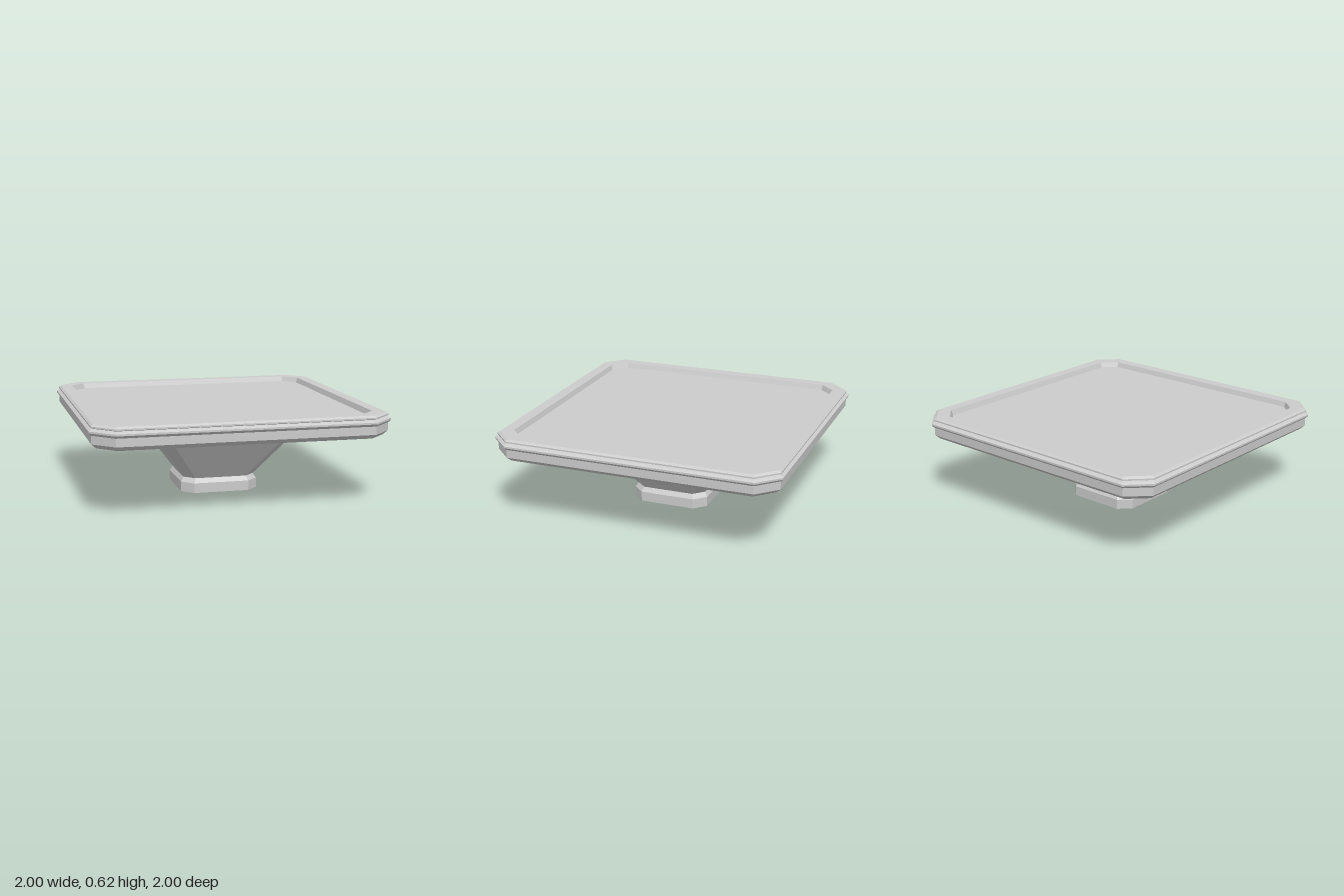
import * as THREE from 'three';

const material = new THREE.MeshStandardMaterial({ color: 0xcccccc, flatShading: true });

// Square with cut corners: h = half width, f = half length of the straight edge
const ring = ([y, h, f]) =>
  [[h, f], [h, -f], [f, -h], [-f, -h], [-h, -f], [-h, f], [-f, h], [f, h]].map(([x, z]) => [x, y, z]);

// Skin a stack of cut-corner squares, listed from the bottom up, and cap both ends
function loft(name, sections) {
  const rings = sections.map(ring);
  const pos = [];
  const tri = (a, b, c) => pos.push(...a, ...b, ...c);
  const last = rings.length - 1;
  const bottom = [0, sections[0][0], 0];
  const top = [0, sections[last][0], 0];
  for (let i = 0; i < 8; i++) {
    const j = (i + 1) % 8;
    for (let k = 0; k < last; k++) {
      tri(rings[k][i], rings[k][j], rings[k + 1][j]);
      tri(rings[k][i], rings[k + 1][j], rings[k + 1][i]);
    }
    tri(bottom, rings[0][j], rings[0][i]);
    tri(top, rings[last][i], rings[last][j]);
  }
  const geometry = new THREE.BufferGeometry();
  geometry.setAttribute('position', new THREE.Float32BufferAttribute(pos, 3));
  geometry.computeVertexNormals();
  const mesh = new THREE.Mesh(geometry, material);
  mesh.name = name;
  return mesh;
}

export function createModel() {
  const model = new THREE.Group();
  model.name = 'squarePedestal';

  // Foot with a bevelled upper edge
  model.add(loft('foot', [[0, 0.27, 0.193], [0.068, 0.27, 0.193], [0.1, 0.25, 0.18]]));

  // Flaring stem whose corner cuts run out to a square top
  model.add(loft('stem', [[0.1, 0.25, 0.18], [0.43, 0.494, 0.41], [0.466, 0.52, 0.518]]));

  // Slab: bevelled underside, bulging band, groove, rim and sunken panel
  model.add(loft('slab', [
    [0.466, 0.95, 0.835],
    [0.495, 0.982, 0.85],
    [0.55, 0.982, 0.85],
    [0.558, 0.992, 0.855],
    [0.567, 1.0, 0.858],
    [0.579, 1.0, 0.858],
    [0.588, 0.985, 0.851],
    [0.593, 0.972, 0.846],
    [0.598, 0.984, 0.851],
    [0.608, 0.984, 0.851],
    [0.62, 0.968, 0.842],
    [0.62, 0.89, 0.793],
    [0.585, 0.877, 0.787],
  ]));

  return model;
}
